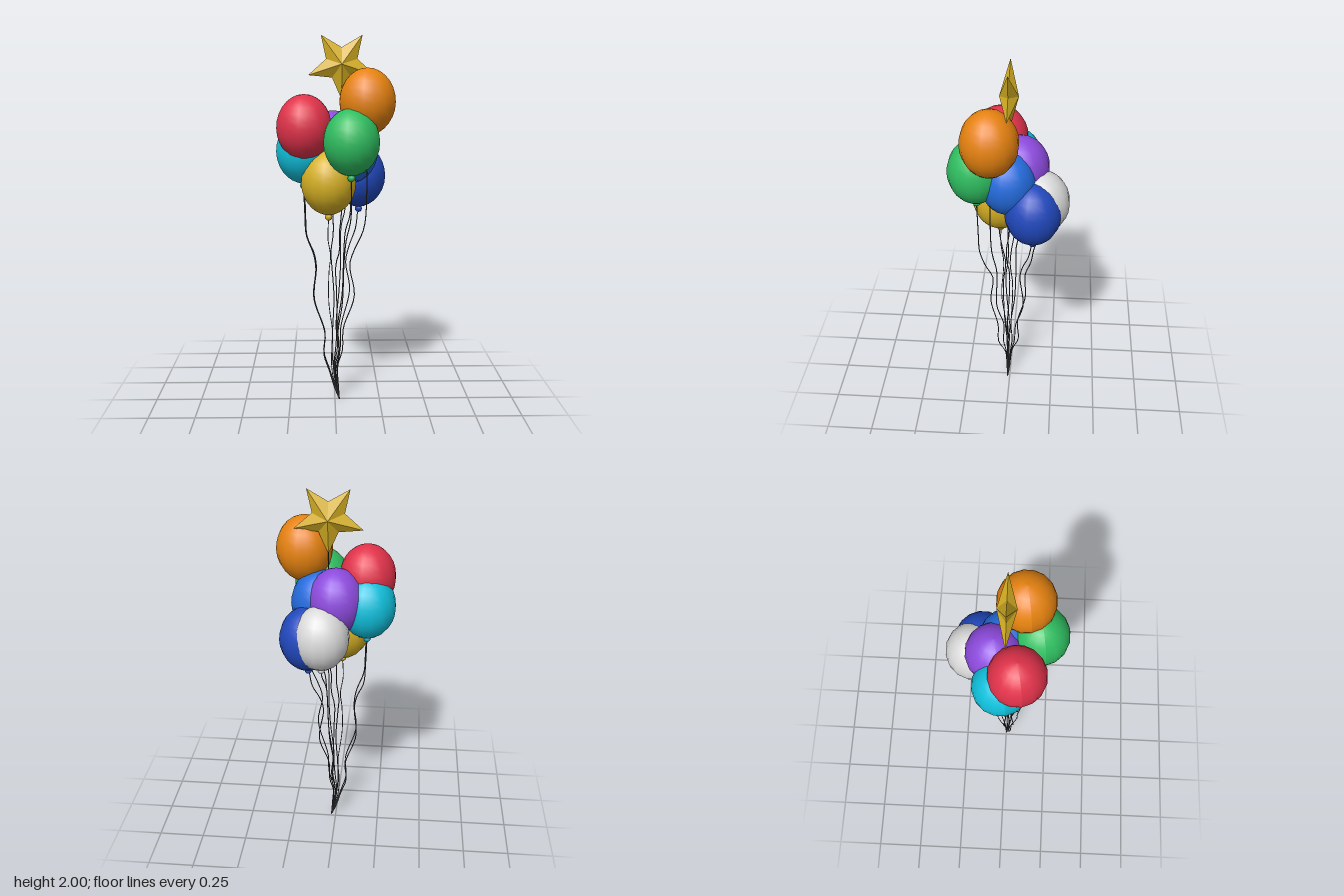
import * as THREE from 'three';

const mat = (name, color) => {
  const m = new THREE.MeshStandardMaterial({ color });
  m.name = name;
  return m;
};

export function createModel() {
  const group = new THREE.Group();
  const gold = mat('gold', 0xd6b024);
  const stringMat = mat('string grey', 0x4c4c50);

  const add = (parent, geometry, material, name) => {
    const mesh = new THREE.Mesh(geometry, material);
    mesh.name = name;
    parent.add(mesh);
    return mesh;
  };

  // Name, material, balloon centre
  const balloons = [
    ['red', mat('red', 0xe0324a), -0.162, 1.525, 0.06],
    ['orange', mat('orange', 0xe58210), 0.166, 1.66, 0.09],
    ['green', mat('green', 0x2fbd60), 0.082, 1.458, 0.167],
    ['gold', gold, -0.035, 1.235, 0.053],
    ['navy', mat('navy', 0x2148bc), 0.132, 1.25, -0.127],
    ['white', mat('white', 0xdadada), 0.06, 1.275, -0.167],
    ['cyan', mat('cyan', 0x10bfdb), -0.168, 1.395, -0.018],
    ['purple', mat('purple', 0x8c4adc), -0.01, 1.435, -0.058],
    ['blue', mat('blue', 0x246bdc), 0.083, 1.4, 0.005],
  ];

  // Balloon skin: tall sphere, slightly narrower toward the knot
  const skin = new THREE.SphereGeometry(0.147, 16, 14);
  skin.rotateY(Math.PI / 16);
  skin.scale(1, 1.18, 1);
  const pos = skin.attributes.position;
  for (let i = 0; i < pos.count; i++) {
    const y = pos.getY(i);
    const k = y < 0 ? 1 - 1.6 * y * y : 1;
    pos.setX(i, pos.getX(i) * k);
    pos.setZ(i, pos.getZ(i) * k);
  }
  skin.computeVertexNormals();
  const knot = new THREE.SphereGeometry(0.02, 8, 6);

  // How far each string spreads from the hand point, by height
  const spread = [[0.95, 0.88], [0.85, 0.7], [0.77, 0.54], [0.6, 0.62], [0.4, 0.33],
    [0.28, 0.32], [0.18, 0.12], [0.08, 0.06]];
  const drift = (y) => -0.008 + 0.033 * Math.max(0, 1 - y / 0.15);

  const addString = (parent, x, y, z, i) => {
    const pts = [new THREE.Vector3(x, y, z), new THREE.Vector3(x * 0.97, 1.05, z * 0.97)];
    spread.forEach(([h, f], j) => {
      const w = 0.009 * Math.min(1, h * 2);
      pts.push(new THREE.Vector3(
        x * f + drift(h) + w * Math.sin(i * 2.1 + j * 1.9),
        h + 0.02 * Math.sin(i * 1.7),
        z * f + 0.008 + w * Math.cos(i * 2.7 + j * 1.6)));
    });
    pts.push(new THREE.Vector3(0.025, 0, 0.012));
    const path = new THREE.CatmullRomCurve3(pts, false, 'centripetal');
    add(parent, new THREE.TubeGeometry(path, 40, 0.0028, 4), stringMat, 'string');
  };

  balloons.forEach(([name, material, x, y, z], i) => {
    const g = new THREE.Group();
    g.name = name + 'Balloon';
    add(g, skin, material, 'skin').position.set(x, y, z);
    add(g, knot, material, 'knot').position.set(x, y - 0.185, z);
    addString(g, x, y - 0.19, z, i);
    group.add(g);
  });

  // Faceted five-pointed star, one tip down, ridged on both faces
  const verts = [];
  const rim = (i) => {
    const a = -Math.PI / 2 + (i * Math.PI) / 5;
    const r = i % 2 ? 0.086 : 0.184;
    return [r * Math.cos(a), r * Math.sin(a), 0];
  };
  for (let i = 0; i < 10; i++) {
    verts.push(...rim(i), ...rim(i + 1), 0, 0, 0.048);
    verts.push(...rim(i + 1), ...rim(i), 0, 0, -0.048);
  }
  const starGeo = new THREE.BufferGeometry();
  starGeo.setAttribute('position', new THREE.Float32BufferAttribute(verts, 3));
  starGeo.computeVertexNormals();
  const star = new THREE.Group();
  star.name = 'starBalloon';
  add(star, starGeo, gold, 'star').position.set(0.035, 1.851, 0.002);
  addString(star, 0.035, 1.68, 0.002, 9);
  group.add(star);

  return group;
}
